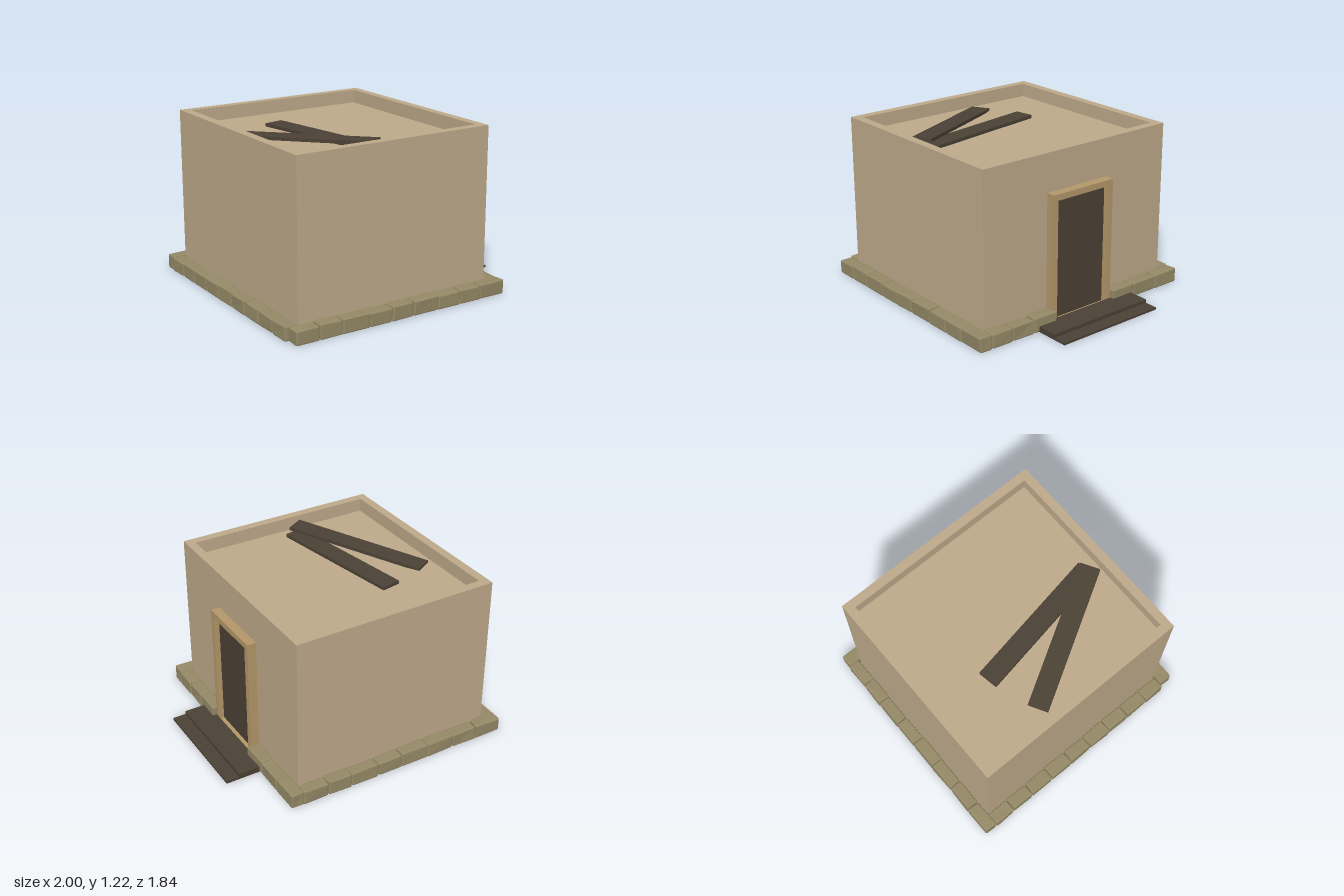
import * as THREE from 'three';
import { RoundedBoxGeometry } from 'three/addons/geometries/RoundedBoxGeometry.js';

const mat = (name, color, flatShading = false) => {
  const m = new THREE.MeshStandardMaterial({ color });
  m.name = name;
  m.flatShading = flatShading;
  return m;
};

export function createModel() {
  const plaster = mat('plaster', 0xbfaa8b);
  const trim = mat('trim wood', 0xb5986a);
  const darkWood = mat('dark wood', 0x4c4236);
  const stone = mat('stone', 0x958a67, true);

  const model = new THREE.Group();
  model.name = 'flatRoofHouse';

  let seed = 7;
  const rand = () => {
    seed = (seed * 16807) % 2147483647;
    return seed / 2147483647 - 0.5;
  };

  // Box given by its minimum and maximum on each axis
  const box = (name, material, [x0, x1], [y0, y1], [z0, z1], parent = model) => {
    const mesh = new THREE.Mesh(new THREE.BoxGeometry(x1 - x0, y1 - y0, z1 - z0), material);
    mesh.position.set((x0 + x1) / 2, (y0 + y1) / 2, (z0 + z1) / 2);
    mesh.name = name;
    parent.add(mesh);
    return mesh;
  };

  // Walls: a square tube that rises past the roof as a parapet
  const rect = (P, x0, x1, z0, z1) => {
    const p = new P();
    p.moveTo(x0, -z1);
    p.lineTo(x1, -z1);
    p.lineTo(x1, -z0);
    p.lineTo(x0, -z0);
    p.closePath();
    return p;
  };
  const plan = rect(THREE.Shape, -0.9, 0.645, -0.82, 0.81);
  plan.holes.push(rect(THREE.Path, -0.835, 0.58, -0.755, 0.745));
  const walls = new THREE.Mesh(
    new THREE.ExtrudeGeometry(plan, { depth: 1.22, bevelEnabled: false }).rotateX(-Math.PI / 2), plaster);
  walls.name = 'walls';
  model.add(walls);
  box('roofDeck', plaster, [-0.835, 0.58], [1.08, 1.12], [-0.755, 0.745]);
  box('floor', plaster, [-0.835, 0.58], [0, 0.03], [-0.755, 0.745]);

  // Doorway on the +x side
  const doorway = new THREE.Group();
  doorway.name = 'doorway';
  model.add(doorway);
  box('rightJamb', trim, [0.645, 0.712], [0, 0.895], [0.228, 0.268], doorway);
  box('leftJamb', trim, [0.645, 0.712], [0, 0.895], [-0.272, -0.228], doorway);
  box('lintel', trim, [0.645, 0.712], [0.895, 0.94], [-0.272, 0.268], doorway);
  box('sill', trim, [0.645, 0.712], [0, 0.02], [-0.228, 0.228], doorway);
  box('doorPanel', darkWood, [0.645, 0.672], [0.02, 0.895], [-0.228, 0.228], doorway);

  // Two stacked step boards
  box('lowerStep', darkWood, [0.715, 1.0], [0, 0.016], [-0.45, 0.415]);
  box('upperStep', darkWood, [0.715, 0.9], [0.016, 0.042], [-0.45, 0.415]);

  // Loose roof planks: centre line runs between two points
  const plank = (name, from, to, width) => {
    const a = new THREE.Vector3(...from), b = new THREE.Vector3(...to);
    const mesh = new THREE.Mesh(new THREE.BoxGeometry(width, 0.024, a.distanceTo(b)), darkWood);
    mesh.position.copy(a).add(b).multiplyScalar(0.5);
    mesh.lookAt(b);
    mesh.name = name;
    model.add(mesh);
  };
  plank('upperPlank', [-0.735, 1.125, -0.25], [-0.205, 1.19, 0.675], 0.145);
  plank('lowerPlank', [-0.37, 1.136, -0.38], [-0.19, 1.136, 0.66], 0.147);

  // Rough foundation stones: chamfered blocks with each corner nudged
  const addStone = (parent, [x0, x1], [z0, z1]) => {
    const h = 0.108 + rand() * 0.006;
    const w = x1 - x0, d = z1 - z0;
    const geo = new RoundedBoxGeometry(w, h, d, 1, 0.009);
    const nudges = Array.from({ length: 8 }, () => [rand() * 0.008, -Math.abs(rand()) * 0.012, rand() * 0.008]);
    const p = geo.attributes.position;
    for (let i = 0; i < p.count; i++) {
      const x = p.getX(i), y = p.getY(i), z = p.getZ(i);
      const n = nudges[(x > 0 ? 1 : 0) + (y > 0 ? 2 : 0) + (z > 0 ? 4 : 0)];
      p.setXYZ(i, x + n[0], y + (y > 0 ? n[1] : 0), z + n[2]);
    }
    geo.computeVertexNormals();
    const mesh = new THREE.Mesh(geo, stone);
    mesh.position.set((x0 + x1) / 2, h / 2, (z0 + z1) / 2);
    mesh.name = 'foundationStone';
    parent.add(mesh);
  };
  const row = (name, cuts, across, alongX) => {
    const group = new THREE.Group();
    group.name = name;
    model.add(group);
    for (let i = 0; i < cuts.length - 1; i++) {
      const span = [cuts[i] + 0.003, cuts[i + 1] - 0.003];
      if (alongX) addStone(group, span, across);
      else addStone(group, across, span);
    }
  };
  row('frontStones', [-0.98, -0.8, -0.62, -0.41, -0.225, -0.045, 0.16, 0.35, 0.53, 0.745], [0.82, 0.917], true);
  row('backStones', [-1, -0.785, -0.58, -0.36, -0.14, 0.055, 0.27, 0.46, 0.655], [-0.92, -0.83], true);
  row('leftStones', [-0.83, -0.66, -0.48, -0.29, -0.1, 0.085, 0.275, 0.46, 0.645, 0.815], [-1, -0.905], false);
  row('doorSideBackStones', [-0.915, -0.695, -0.48, -0.272], [0.65, 0.745], false);
  row('doorSideFrontStones', [0.255, 0.46, 0.645, 0.818], [0.65, 0.745], false);

  return model;
}
